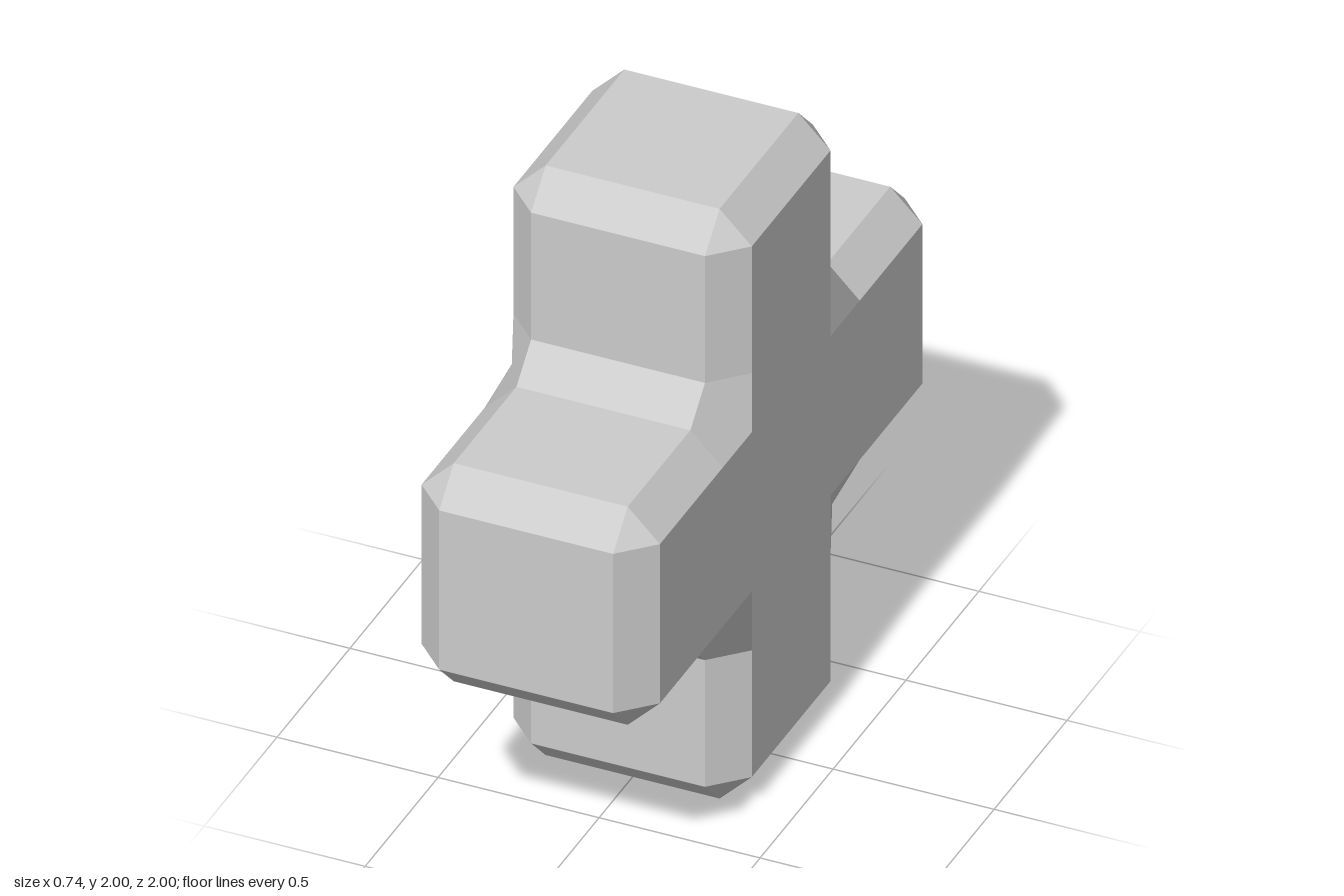
import * as THREE from 'three';

const L = 1;           // arm length from the centre
const B = 0.1;         // bevel width
const H = 0.37;        // half thickness
const C = H - B;       // half width of the flat faces
const E = L - B;       // where the tip bevel starts
const N = H + B;       // where the inner corner bevel ends
const M = (H + N) / 2; // middle of the inner corner bevel

// Quarter of the arm along +z; the rest comes from mirroring
const quarterArm = [
  [[0, 0, L], [C, 0, L], [C, C, L], [0, C, L]],            // tip
  [[C, 0, L], [H, 0, E], [H, C, E], [C, C, L]],            // tip bevel, side
  [[0, C, L], [C, C, L], [C, H, E], [0, H, E]],            // tip bevel, top
  [[C, C, L], [H, C, E], [C, H, E]],                       // tip corner
  [[H, 0, E], [H, 0, 0], [H, C, C], [H, C, N], [H, C, E]], // flat side
  [[H, C, E], [H, C, N], [C, H, N], [C, H, E]],            // long bevel
  [[0, H, E], [C, H, E], [C, H, N], [0, H, N]],            // flat top
  [[0, H, N], [C, H, N], [C, M, M], [0, M, M]],            // inner corner bevel
];

// Five-sided patch where the long bevels of two arms meet
const innerCorner = [[H, C, C], [H, N, C], [C, N, H], [C, H, N], [H, C, N]];

// Flat-shaded polygon, fanned from its centre
function addPolygon(points, positions, normals) {
  const centre = new THREE.Vector3();
  points.forEach((p) => centre.addScaledVector(p, 1 / points.length));
  const normal = new THREE.Vector3();
  const next = (i) => points[(i + 1) % points.length];
  points.forEach((p, i) => {
    normal.add(p.clone().sub(centre).cross(next(i).clone().sub(centre)));
  });
  normal.normalize();
  points.forEach((p, i) => {
    for (const v of [centre, p, next(i)]) {
      positions.push(v.x, v.y, v.z);
      normals.push(normal.x, normal.y, normal.z);
    }
  });
}

function createArm(turn) {
  const positions = [];
  const normals = [];
  const axis = new THREE.Vector3(1, 0, 0);
  for (const sx of [1, -1]) {
    for (const sy of [1, -1]) {
      const faces = sy > 0 ? [...quarterArm, innerCorner] : quarterArm;
      for (const face of faces) {
        const points = face.map(([x, y, z]) =>
          new THREE.Vector3(x * sx, y * sy, z).applyAxisAngle(axis, turn));
        if (sx * sy < 0) points.reverse();
        addPolygon(points, positions, normals);
      }
    }
  }
  const geometry = new THREE.BufferGeometry();
  geometry.setAttribute('position', new THREE.Float32BufferAttribute(positions, 3));
  geometry.setAttribute('normal', new THREE.Float32BufferAttribute(normals, 3));
  return geometry;
}

export function createModel() {
  const group = new THREE.Group();
  group.name = 'bevelledCross';
  const material = new THREE.MeshStandardMaterial({ color: 0xcccccc });
  ['frontArm', 'bottomArm', 'backArm', 'topArm'].forEach((name, i) => {
    const arm = new THREE.Mesh(createArm(i * Math.PI / 2), material);
    arm.name = name;
    arm.position.y = L;
    group.add(arm);
  });
  return group;
}
